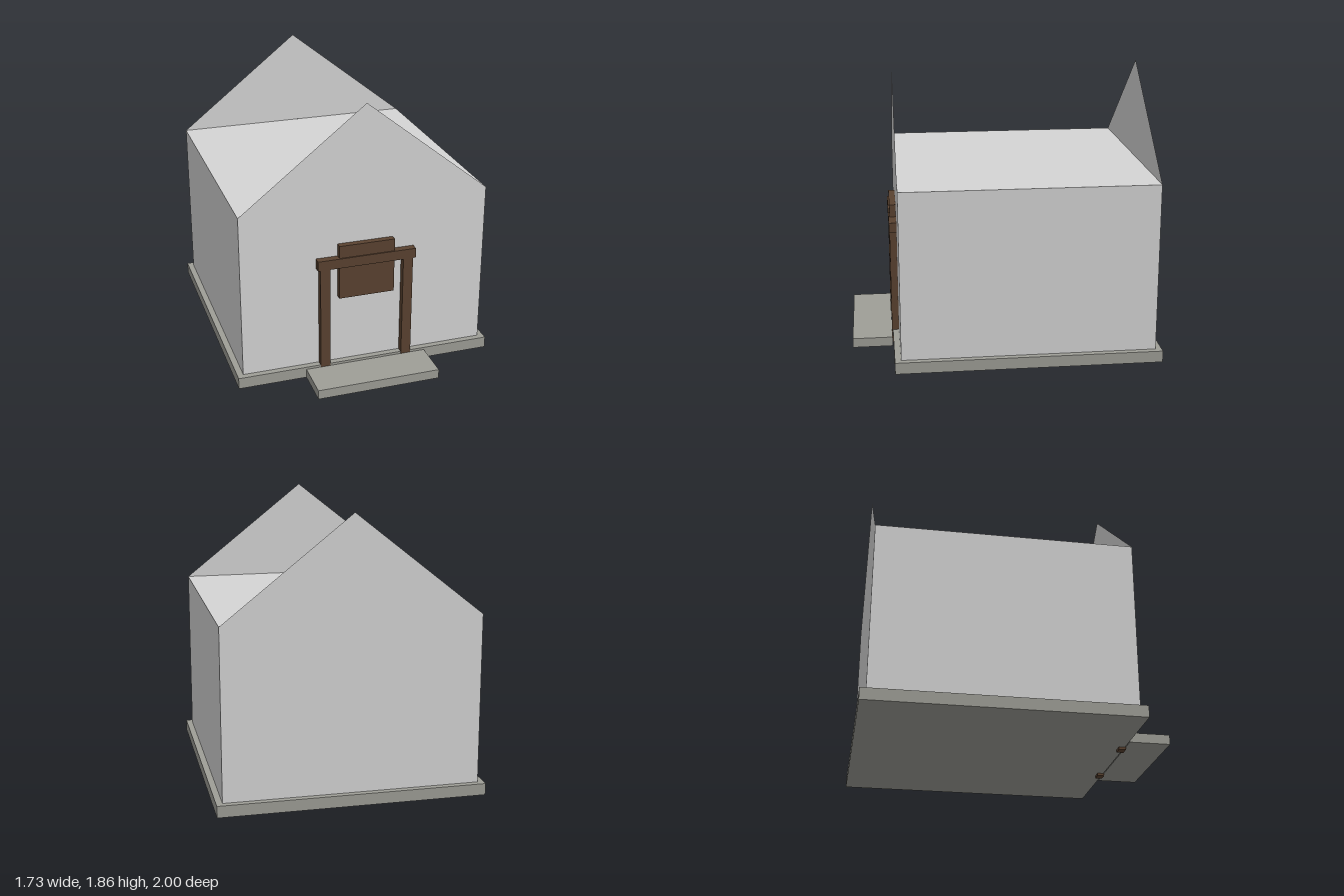
import * as THREE from 'three';

export function createModel() {
  const model = new THREE.Group();
  model.name = 'house';

  const plaster = new THREE.MeshStandardMaterial({ color: 0xd5d5d5 });
  plaster.name = 'light grey plaster';
  const gablePlaster = plaster.clone();
  gablePlaster.name = 'light grey plaster, two sided';
  gablePlaster.side = THREE.DoubleSide;
  const stone = new THREE.MeshStandardMaterial({ color: 0x9e9e97 });
  stone.name = 'grey stone';
  const wood = new THREE.MeshStandardMaterial({ color: 0x5a4230 });
  wood.name = 'dark brown wood';

  // Box given by its lower and upper limits on each axis
  function block(name, material, [x0, x1], [y0, y1], [z0, z1]) {
    const mesh = new THREE.Mesh(new THREE.BoxGeometry(x1 - x0, y1 - y0, z1 - z0), material);
    mesh.position.set((x0 + x1) / 2, (y0 + y1) / 2, (z0 + z1) / 2);
    mesh.name = name;
    model.add(mesh);
  }

  const halfWidth = 0.825, eaves = 1.2, ridge = 1.855;
  const front = 0.69, back = -0.96;

  // Stone base and doorstep
  block('foundation', stone, [-0.865, 0.865], [0.017, 0.093], [-1, 0.73]);
  block('doorstep', stone, [-0.412, 0.412], [0.017, 0.08], [0.735, 1]);

  // Flat-topped walls
  block('walls', plaster, [-halfWidth, halfWidth], [0.03, eaves], [back, front]);

  // Freestanding triangular gables, front and back
  const triangle = new THREE.Shape([
    new THREE.Vector2(-halfWidth, eaves),
    new THREE.Vector2(halfWidth, eaves),
    new THREE.Vector2(0, ridge),
  ]);
  for (const [name, z, turn] of [['frontGable', front, 0], ['backGable', back, Math.PI]]) {
    const gable = new THREE.Mesh(new THREE.ShapeGeometry(triangle), gablePlaster);
    gable.position.z = z;
    gable.rotation.y = turn;
    gable.name = name;
    model.add(gable);
  }

  // Wooden door frame with a hanging panel
  block('leftPost', wood, [0.247, 0.313], [0, 0.787], [front, 0.736]);
  block('rightPost', wood, [-0.313, -0.247], [0, 0.787], [front, 0.736]);
  block('lintel', wood, [-0.33, 0.33], [0.787, 0.853], [front, 0.74]);
  block('panel', wood, [-0.186, 0.186], [0.566, 0.937], [front, 0.732]);

  return model;
}
